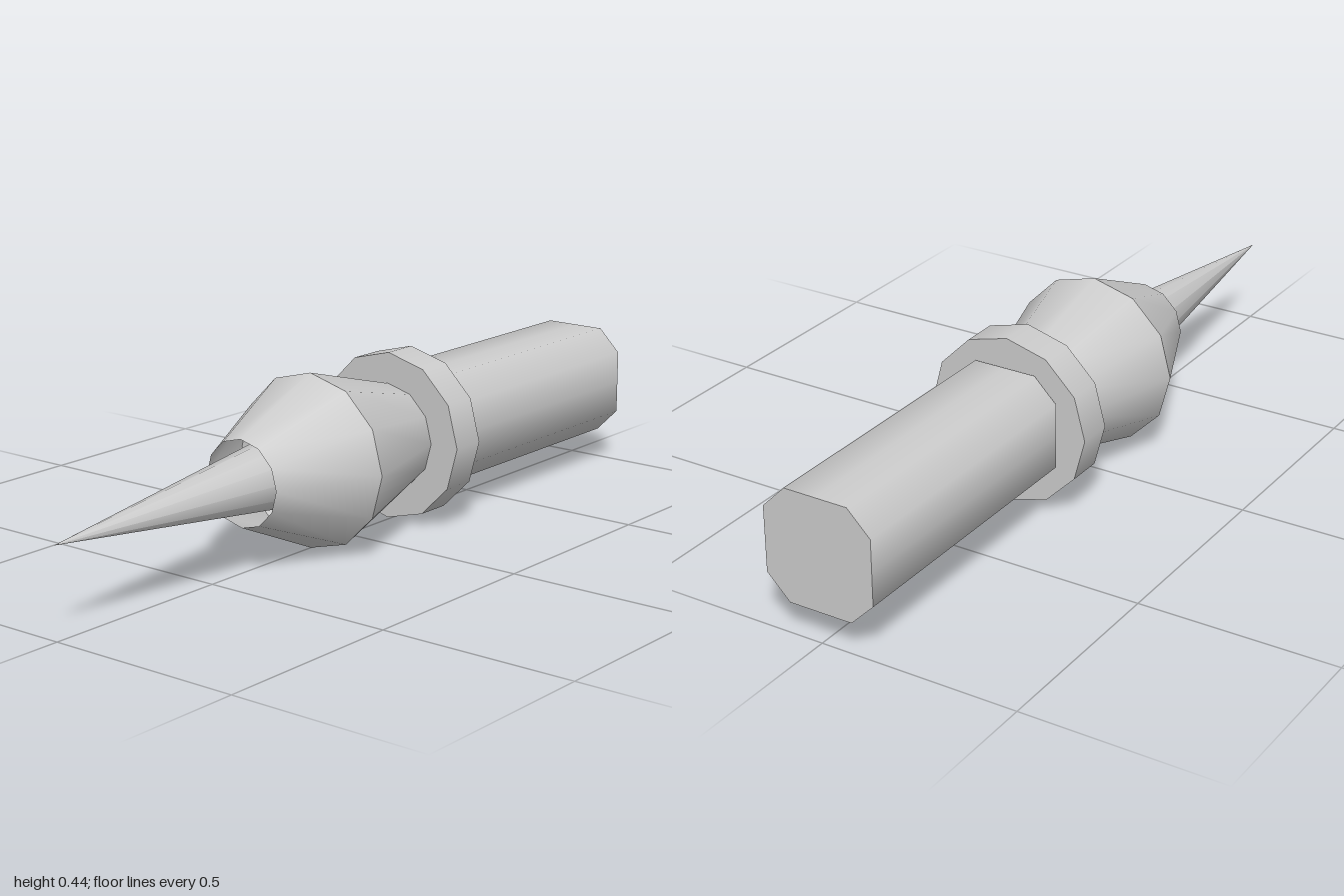
import * as THREE from 'three';

const AXIS_Y = 0.219;
const SIDES = 12;

export function createModel() {
  const group = new THREE.Group();
  const material = new THREE.MeshStandardMaterial({ color: 0xcccccc });
  const openMaterial = new THREE.MeshStandardMaterial({ color: 0xcccccc, side: THREE.DoubleSide });

  // Round section along z, from zBack to zFront
  function section(name, rFront, rBack, zFront, zBack, open = false) {
    const geometry = new THREE.CylinderGeometry(rFront, rBack, zFront - zBack, SIDES, 1, open);
    geometry.rotateX(Math.PI / 2);
    const mesh = new THREE.Mesh(geometry, open ? openMaterial : material);
    mesh.name = name;
    mesh.position.set(0, AXIS_Y, (zFront + zBack) / 2);
    group.add(mesh);
    return mesh;
  }

  // Needle runs on inside the hollow nose
  section('needle', 0, 0.109, 1, 0.1);

  // Hollow body: two open tapers meeting at the widest point
  section('noseTaper', 0.107, 0.218, 0.395, 0.142, true);
  section('bodyTaper', 0.218, 0.134, 0.142, -0.162, true);

  section('collar', 0.213, 0.213, -0.162, -0.255);
  section('neck', 0.11, 0.11, -0.25, -0.27);

  // Shaft: round bar with four flats
  const shaft = section('shaft', 0.164, 0.164, -0.265, -1);
  const position = shaft.geometry.attributes.position;
  const flat = 0.141;
  for (let i = 0; i < position.count; i++) {
    position.setX(i, THREE.MathUtils.clamp(position.getX(i), -flat, flat));
    position.setY(i, THREE.MathUtils.clamp(position.getY(i), -flat, flat));
  }

  return group;
}
